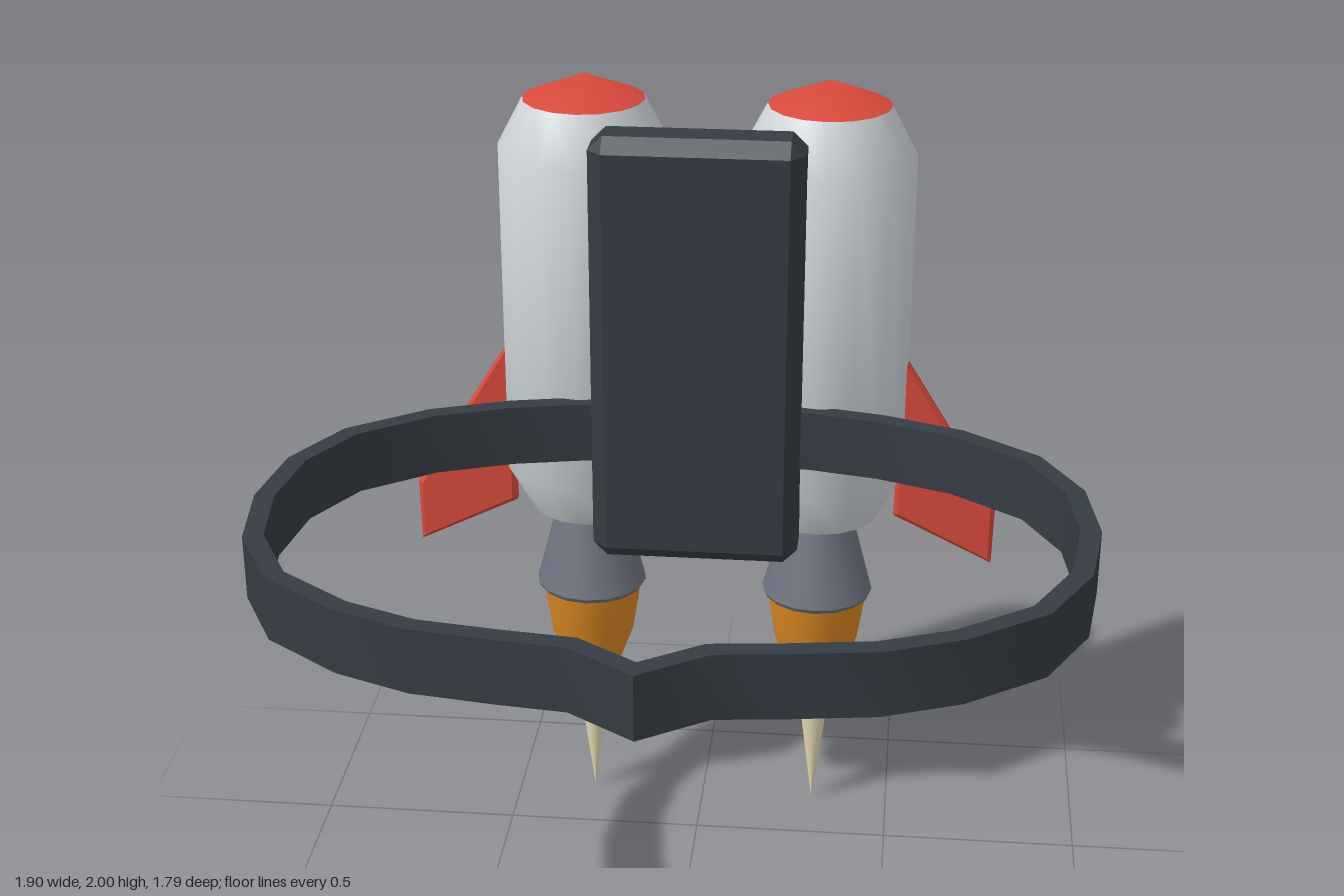
import * as THREE from 'three';
import { toCreasedNormals } from 'three/addons/utils/BufferGeometryUtils.js';
import { ConvexGeometry } from 'three/addons/geometries/ConvexGeometry.js';

const mat = (name, color) => {
  const m = new THREE.MeshStandardMaterial({ color });
  m.name = name;
  return m;
};

const named = (name, geometry, material) => {
  const mesh = new THREE.Mesh(geometry, material);
  mesh.name = name;
  return mesh;
};

const v2 = (points) => points.map(([x, y]) => new THREE.Vector2(x, y));

// Turned part; profile runs from bottom to top as [radius, y]
const turned = (profile, crease) =>
  toCreasedNormals(new THREE.LatheGeometry(v2(profile), 16), crease);

// Box with every edge cut at 45 degrees
function chamferedBox(w, h, d, c) {
  const pts = [];
  for (const x of [-1, 1]) for (const y of [-1, 1]) for (const z of [-1, 1]) {
    for (let axis = 0; axis < 3; axis++) {
      const cut = [0, 1, 2].map((i) => (i === axis ? 0 : c));
      pts.push(new THREE.Vector3(x * (w / 2 - cut[0]), y * (h / 2 - cut[1]), z * (d / 2 - cut[2])));
    }
  }
  return new ConvexGeometry(pts);
}

// Closed outline moved inwards by a constant distance (mitred corners)
function inset(loop, dist) {
  return loop.map((p, i) => {
    const a = loop[(i + loop.length - 1) % loop.length];
    const b = loop[(i + 1) % loop.length];
    const d1 = p.clone().sub(a).normalize();
    const d2 = b.clone().sub(p).normalize();
    const n1 = new THREE.Vector2(d1.y, -d1.x);
    const n2 = new THREE.Vector2(d2.y, -d2.x);
    const m = n1.clone().add(n2).normalize();
    return p.clone().addScaledVector(m, dist / m.dot(n1));
  });
}

// Strap around the waist, pointed at the front buckle
function beltGeometry() {
  const half = [[0.147, 0.792], [0.297, 0.775], [0.485, 0.747], [0.653, 0.678], [0.827, 0.548],
    [0.922, 0.362], [0.949, 0.15], [0.922, -0.06], [0.827, -0.24], [0.647, -0.375],
    [0.46, -0.447], [0.285, -0.485]];
  const mirrored = half.map(([x, z]) => [-x, z]).reverse();
  // front tip, left side to the back, then the right side forwards
  const outer = v2([[0, 0.893], ...half, [0, -0.5], ...mirrored]);
  const shape = new THREE.Shape(outer);
  // the outline runs clockwise, so the hole is wound the other way
  shape.holes.push(new THREE.Path(inset(outer, 0.046).reverse()));
  const g = new THREE.ExtrudeGeometry(shape, { depth: 0.15, bevelEnabled: false });
  g.rotateX(Math.PI / 2).translate(0, 1.24, 0);
  return toCreasedNormals(g, 0.5);
}

// Swept fin with bevelled edges, drawn for the +x side
function finGeometry() {
  const b = 0.012;
  const shape = new THREE.Shape(v2([[0.5, 1.295], [0.5, 0.875], [0.735, 0.757], [0.735, 0.905]]));
  const g = new THREE.ExtrudeGeometry(shape, {
    depth: 0.02, bevelEnabled: true, bevelSize: b, bevelThickness: b, bevelSegments: 1,
  });
  return g.translate(0, 0, -0.01);
}

export function createModel() {
  const shell = mat('light grey shell', 0xd2d6da);
  const red = mat('red paint', 0xd8493c);
  const dark = mat('dark strap', 0x363c44);
  const steel = mat('nozzle steel', 0x6e7380);
  const orange = mat('flame orange', 0xe08a22);
  const cream = mat('flame tip cream', 0xe8deb6);

  const model = new THREE.Group();
  model.name = 'jetpack';
  const tankZ = -0.68;

  const tankGeo = turned([[0, 0.845], [0.09, 0.845], [0.148, 0.868], [0.214, 0.99],
    [0.214, 1.82], [0.15, 1.94]], 0.68);
  const capGeo = turned([[0.15, 1.94], [0, 2]], 0.9);
  const nozzleGeo = turned([[0, 0.635], [0.136, 0.635], [0.143, 0.647], [0.09, 0.845], [0, 0.855]], 0.6);
  const flameGeo = turned([[0.04, 0.312], [0.108, 0.5], [0.13, 0.64], [0, 0.64]], 0.7);
  const tipGeo = turned([[0, 0], [0.04, 0.312]], 0.6);
  const finGeo = finGeometry();

  // Twin thrusters, left and right
  for (const side of [1, -1]) {
    const thruster = new THREE.Group();
    thruster.name = side > 0 ? 'leftThruster' : 'rightThruster';
    thruster.position.set(side * 0.297, 0, tankZ);
    thruster.add(
      named('tank', tankGeo, shell),
      named('tankCap', capGeo, red),
      named('nozzle', nozzleGeo, steel),
      named('flame', flameGeo, orange),
      named('flameTip', tipGeo, cream),
    );
    model.add(thruster);

    const fin = named(side > 0 ? 'leftFin' : 'rightFin', finGeo, red);
    fin.position.z = tankZ;
    if (side < 0) fin.rotation.y = Math.PI;
    model.add(fin);
  }

  // Back plate joining the tanks to the strap
  const plate = named('backPlate', chamferedBox(0.51, 1.08, 0.15, 0.035), dark);
  plate.position.set(0, 1.387, -0.453);
  model.add(plate);

  model.add(named('belt', beltGeometry(), dark));
  return model;
}
